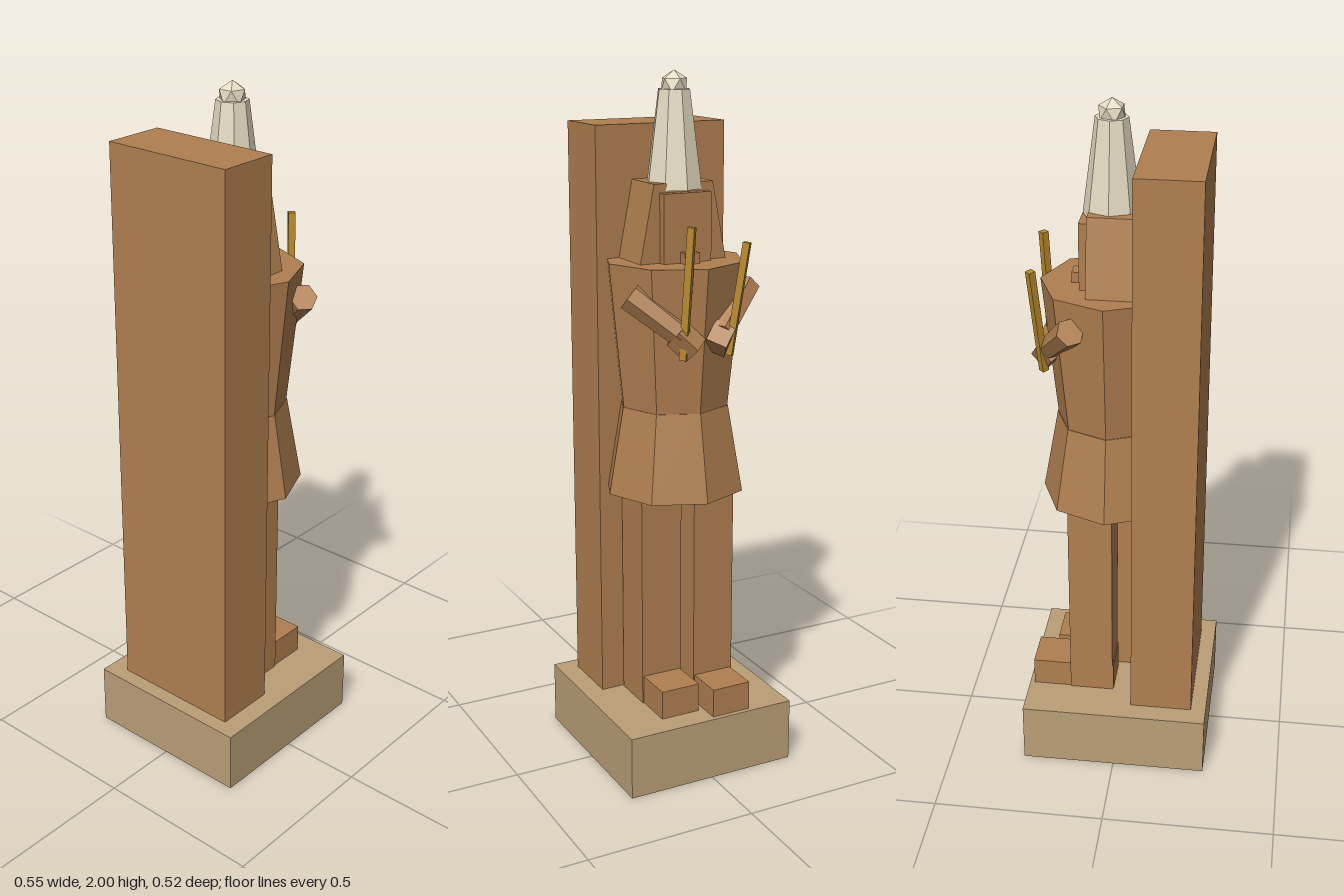
import * as THREE from 'three';

const mat = (name, color) => {
  const m = new THREE.MeshStandardMaterial({ color, flatShading: true });
  m.name = name;
  return m;
};

export function createModel() {
  const wood = mat('brown wood', 0xb07f50);
  const stone = mat('tan base', 0xba9f77);
  const cream = mat('cream crown', 0xe4dcc2);
  const gold = mat('gold rods', 0xb8892b);
  const dark = mat('dark inlay', 0x5a4a3c);
  const model = new THREE.Group();
  model.name = 'statue';

  const add = (name, geometry, material) => {
    const mesh = new THREE.Mesh(geometry, material);
    mesh.name = name;
    model.add(mesh);
    return mesh;
  };
  // box given by its min and max on each axis
  const box = (name, material, x0, x1, y0, y1, z0, z1) =>
    add(name, new THREE.BoxGeometry(x1 - x0, y1 - y0, z1 - z0), material)
      .position.set((x0 + x1) / 2, (y0 + y1) / 2, (z0 + z1) / 2);
  // eight-sided tapered body section on the figure's axis
  const taper = (name, material, rTop, rBottom, y0, y1) =>
    add(name, new THREE.CylinderGeometry(rTop, rBottom, y1 - y0, 8), material)
      .position.set(0.03, (y0 + y1) / 2, 0);
  // prism running between two points
  const rod = (name, material, from, to, r0, r1, sides) => {
    const a = new THREE.Vector3(...from), b = new THREE.Vector3(...to);
    const dir = b.clone().sub(a);
    const mesh = add(name, new THREE.CylinderGeometry(r1, r0, dir.length(), sides), material);
    mesh.position.copy(a).add(b).multiplyScalar(0.5);
    mesh.quaternion.setFromUnitVectors(new THREE.Vector3(0, 1, 0), dir.normalize());
    return mesh;
  };

  // base and back pillar
  box('base', stone, -0.275, 0.275, 0, 0.185, -0.26, 0.26);
  box('backPillar', wood, -0.23, -0.047, 0.185, 1.855, -0.2, 0.2);
  for (const y of [0.34, 0.54, 0.74])
    box('pillarInlay', dark, -0.047, -0.04, y - 0.037, y + 0.037, -0.065, 0.065);

  // legs and feet, one stepping forward
  for (const [side, shift] of [[1, 0], [-1, 0.06]]) {
    const z0 = side > 0 ? 0.005 : -0.132, z1 = side > 0 ? 0.132 : -0.005;
    box('leg', wood, -0.042 + shift, 0.087 + shift, 0.185, 0.86, z0, z1);
    box('foot', wood, -0.045 + shift, 0.205 + shift * 0.93, 0.185, 0.27, z0 + 0.004, z1 - 0.004);
  }

  // kilt and torso
  taper('kilt', wood, 0.16, 0.205, 0.83, 1.08);
  taper('torso', wood, 0.2, 0.158, 1.08, 1.49);

  // headcloth, narrowing towards the top
  const cloth = new THREE.Shape([[-0.133, 1.485], [0.133, 1.485], [0.09, 1.705], [-0.09, 1.705]]
    .map(([x, y]) => new THREE.Vector2(x, y)));
  const clothGeo = new THREE.ExtrudeGeometry(cloth, { depth: 0.135, bevelEnabled: false });
  clothGeo.rotateY(Math.PI / 2).translate(-0.048, 0, 0);
  add('headcloth', clothGeo, wood);
  box('face', wood, 0.05, 0.112, 1.485, 1.68, -0.073, 0.073);
  box('beard', wood, 0.09, 0.14, 1.4, 1.52, -0.023, 0.023);

  // tall crown with a faceted knob
  taper('crown', cream, 0.045, 0.08, 1.685, 1.95);
  const knob = new THREE.IcosahedronGeometry(0.04, 0);
  knob.rotateZ(-0.5536);
  add('crownKnob', knob, cream).position.set(0.03, 1.96, 0);

  // folded arms and hands
  for (const s of [1, -1]) {
    rod('arm', wood, [0.12, 1.415, s * 0.182], [0.2, 1.305, s * 0.06], 0.04, 0.034, 6);
    const hand = rod('hand', wood, [0.19, 1.315, s * 0.075], [0.215, 1.268, s * 0.03], 0.042, 0.042, 4);
    hand.rotateY(Math.PI / 4);
  }

  // square rods held upright
  rod('leftRod', gold, [0.212, 1.245, 0.066], [0.227, 1.605, 0.05], 0.014, 0.014, 4);
  rod('rightRod', gold, [0.213, 1.245, -0.075], [0.236, 1.555, -0.114], 0.014, 0.014, 4);

  return model;
}
